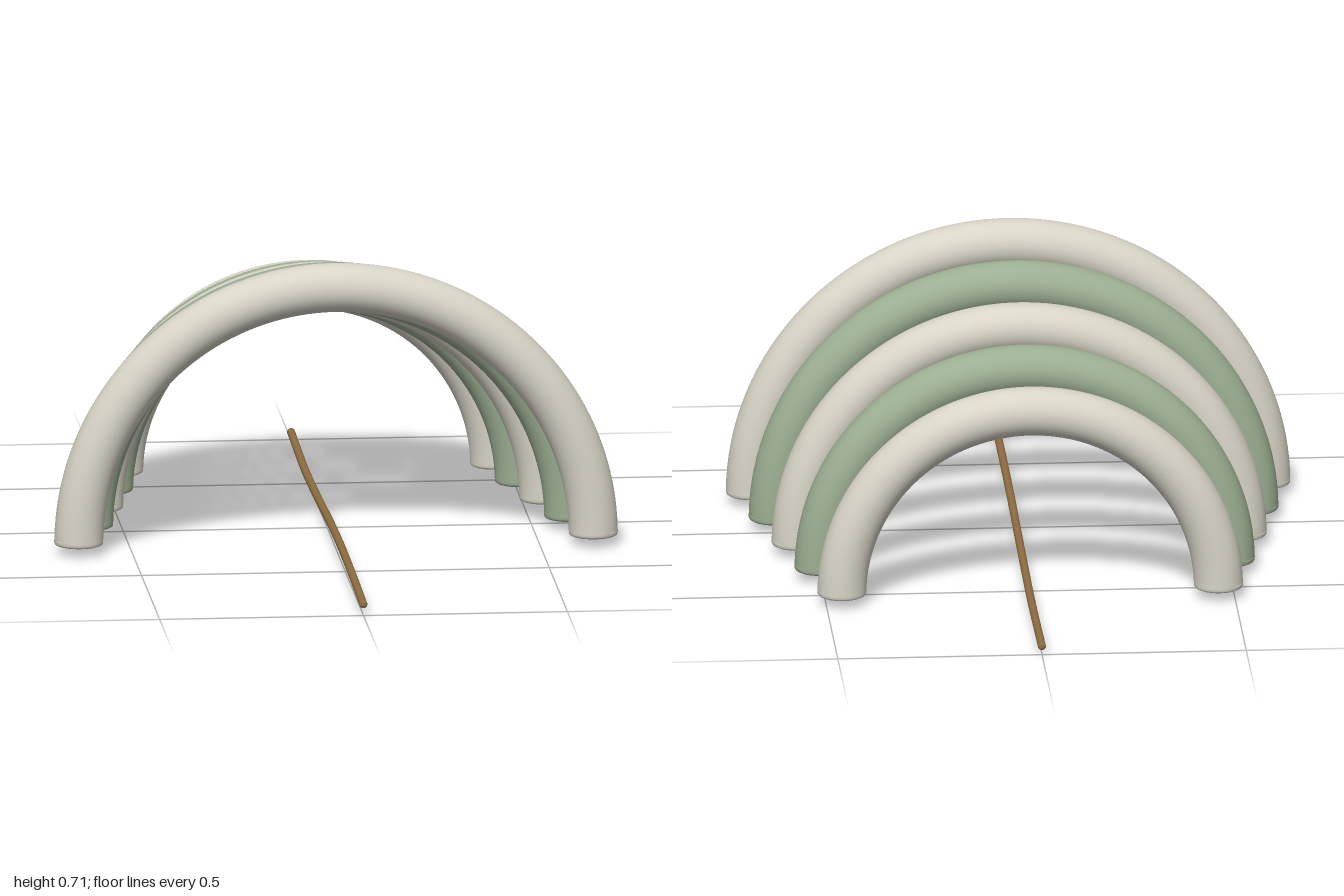
import * as THREE from 'three';

const TUBE = 0.06;   // outer radius of each arch tube
const BORE = 0.038;  // radius of the hollow inside
const BASE = 0.023;  // height of the arch feet
const LIP = 0.012;   // height of the rounded foot rim

function material(name, color, side = THREE.FrontSide) {
  const m = new THREE.MeshStandardMaterial({ color, side });
  m.name = name;
  return m;
}

function addMesh(parent, name, geometry, mat) {
  const mesh = new THREE.Mesh(geometry, mat);
  mesh.name = name;
  parent.add(mesh);
  return mesh;
}

// Half ring standing on two hollow feet
function makeArch(name, radius, mat) {
  const arch = new THREE.Group();
  arch.name = name;
  const start = LIP / radius;
  addMesh(arch, 'outerTube',
    new THREE.TorusGeometry(radius, TUBE, 32, 80, Math.PI - 2 * start).rotateZ(start), mat);
  addMesh(arch, 'innerBore',
    new THREE.TorusGeometry(radius, BORE, 20, 64, Math.PI), mat);

  // Softly rounded rim closing the gap between tube and bore
  const profile = [
    [BORE, LIP], [BORE, 0.003], [BORE + 0.003, 0], [TUBE - 0.006, 0],
    [TUBE - 0.002, 0.002], [TUBE, 0.006], [TUBE, LIP],
  ].map(([x, y]) => new THREE.Vector2(x, y));
  for (const side of [-1, 1]) {
    const rim = addMesh(arch, side > 0 ? 'leftFootRim' : 'rightFootRim',
      new THREE.LatheGeometry(profile, 32), mat);
    rim.position.x = side * radius;
  }
  return arch;
}

export function createModel() {
  const model = new THREE.Group();
  model.name = 'archTunnel';
  const cream = material('cream', 0xd8d4c7, THREE.DoubleSide);
  const green = material('sageGreen', 0x9caf92, THREE.DoubleSide);
  const brown = material('woodBrown', 0x8f6f42);

  // Five arches shrinking toward the back, in alternating colours
  for (let i = 0; i < 5; i++) {
    const arch = makeArch('arch' + (i + 1), 0.631 - 0.0425 * i, i % 2 ? green : cream);
    arch.position.set(0, BASE, 0.242 - 0.2017 * i);
    model.add(arch);
  }

  // Gently waving rod along the ground
  const rodRadius = 0.01;
  const path = new THREE.CatmullRomCurve3([
    [0.027, 0.995], [0.034, 0.7], [0.037, 0.4], [0.032, 0.1],
    [0.022, -0.15], [0.012, -0.45], [0.01, -0.65], [0.02, -0.995],
  ].map(([y, z]) => new THREE.Vector3(0, y, z)));
  const rod = new THREE.Group();
  rod.name = 'groundRod';
  model.add(rod);
  addMesh(rod, 'rodShaft', new THREE.TubeGeometry(path, 80, rodRadius, 12), brown);
  for (const t of [0, 1]) {
    const cap = addMesh(rod, t ? 'rodBackEnd' : 'rodFrontEnd',
      new THREE.SphereGeometry(rodRadius, 12, 8), brown);
    cap.scale.z = 0.5;
    cap.position.copy(path.getPoint(t));
  }
  return model;
}
